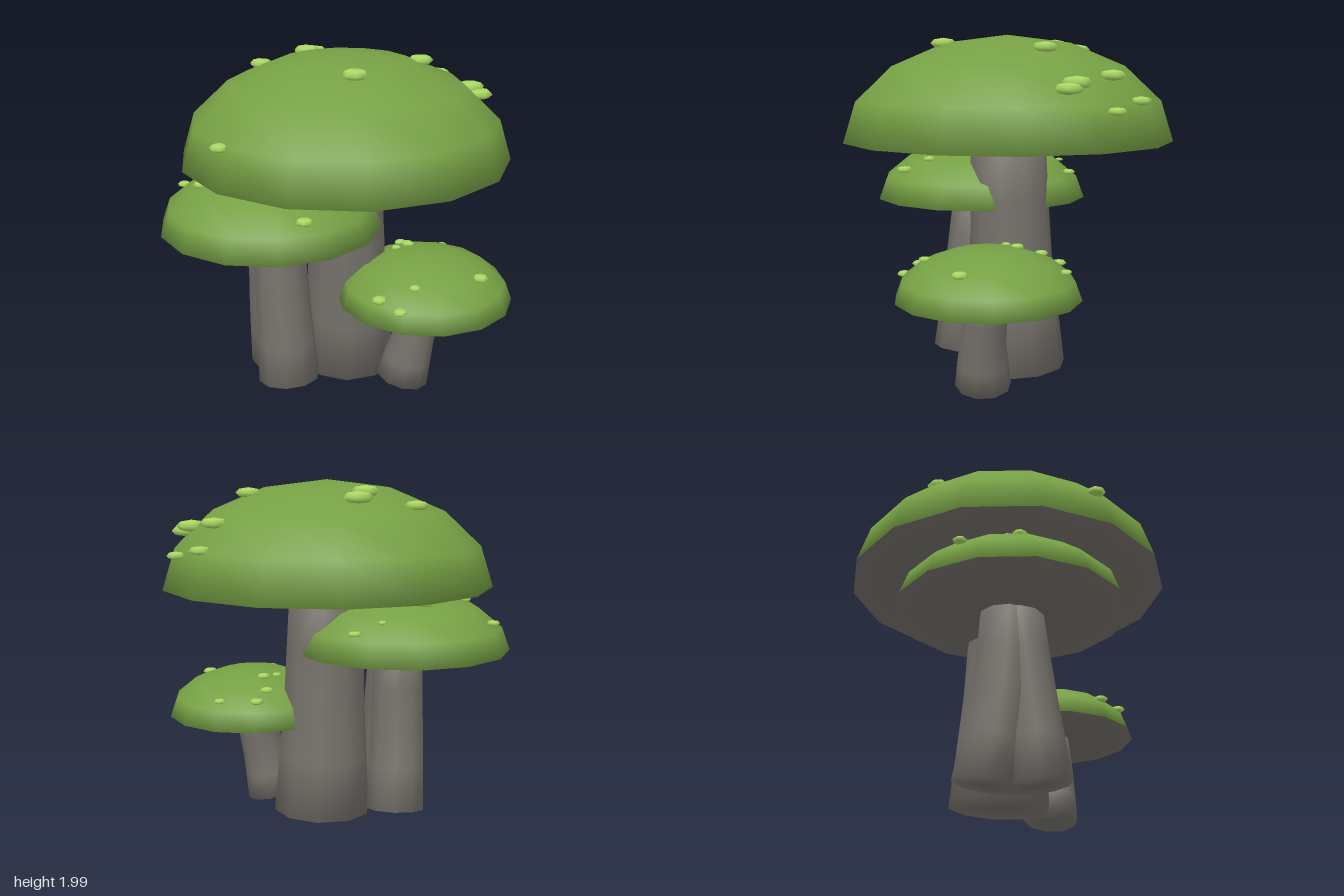
import * as THREE from 'three';

const mat = (name, color) => Object.assign(new THREE.MeshStandardMaterial({ color }), { name });
const green = mat('cap green', 0x76a044);
const grey = mat('stem grey', 0x74706a);
const lime = mat('spot lime', 0xa9d863);

const SIDES = 14;
const UP = new THREE.Vector3(0, 1, 0);

function mesh(name, geometry, material) {
  const m = new THREE.Mesh(geometry, material);
  m.name = name;
  return m;
}

// Bend the rim normals so dome and underside shade into each other
function softenRim(geometry, cx, r, down) {
  const p = geometry.attributes.position, n = geometry.attributes.normal;
  const v = new THREE.Vector3();
  for (let i = 0; i < p.count; i++) {
    v.fromBufferAttribute(p, i);
    if (v.y < 1e-4 && Math.hypot(v.x, v.z) > r * 0.98) {
      v.set(v.x / r, -down, v.z / r).normalize();
      n.setXYZ(i, v.x, v.y, v.z);
    }
  }
  return geometry;
}

// Half-ellipsoid cap with flat underside and spots sitting on its surface
function cap(name, [cx, y, cz], r, h, spots) {
  const group = new THREE.Group();
  group.name = name;
  group.position.set(cx, y, cz);

  const dome = new THREE.SphereGeometry(1, SIDES, 4, Math.PI / 2, Math.PI * 2, 0, Math.PI / 2);
  dome.scale(r, h, r);
  group.add(mesh(name + 'Dome', softenRim(dome, 0, r, 0.5), green));

  const under = new THREE.CircleGeometry(r, SIDES, Math.PI / 2);
  under.rotateX(Math.PI / 2);
  group.add(mesh(name + 'Underside', softenRim(under, 0, r, 1.6), grey));

  spots.forEach(([x, z, size], i) => {
    const dx = x - cx, dz = z - cz;
    const rho = Math.min(Math.hypot(dx, dz) / r, 0.99);
    const spot = mesh(name + 'Spot', new THREE.SphereGeometry(1, 7, 4), lime);
    spot.position.set(dx, h * Math.sqrt(1 - rho * rho), dz);
    spot.scale.set(size, size * 0.4, size);
    spot.rotation.y = i * 1.3;
    group.add(spot);
  });
  return group;
}

// Bent stem: rings swept along a curve, closed at both ends
function stem(name, points, radii) {
  const sides = 10, steps = 4;
  const curve = new THREE.CatmullRomCurve3(points.map((p) => new THREE.Vector3(...p)));
  const pos = [], index = [];
  const q = new THREE.Quaternion(), v = new THREE.Vector3();
  for (let i = 0; i <= steps; i++) {
    const t = i / steps, c = curve.getPoint(t);
    q.setFromUnitVectors(UP, curve.getTangent(t));
    const k = t < 0.5 ? 0 : 1;
    const r = THREE.MathUtils.lerp(radii[k], radii[k + 1], t * 2 - k);
    for (let j = 0; j < sides; j++) {
      const a = (j / sides) * Math.PI * 2;
      v.set(Math.sin(a) * r, 0, Math.cos(a) * r).applyQuaternion(q).add(c);
      pos.push(v.x, v.y, v.z);
    }
  }
  const bottom = pos.length / 3, top = bottom + 1;
  pos.push(...points[0], ...points[points.length - 1]);
  for (let j = 0; j < sides; j++) {
    const n = (j + 1) % sides, last = steps * sides;
    for (let i = 0; i < steps; i++) {
      const a = i * sides + j, b = i * sides + n;
      index.push(a, b, b + sides, a, b + sides, a + sides);
    }
    index.push(bottom, n, j, top, last + j, last + n);
  }
  const g = new THREE.BufferGeometry();
  g.setAttribute('position', new THREE.Float32BufferAttribute(pos, 3));
  g.setIndex(index);
  g.computeVertexNormals();
  return mesh(name, g, grey);
}

export function createModel() {
  const model = new THREE.Group();
  model.name = 'mushroomCluster';

  // Caps: spots are [x, z, size]
  model.add(cap('largeCap', [0.045, 1.39, 0], 0.955, 0.6, [
    [-0.19, -0.55, 0.07], [0.14, -0.48, 0.085], [0.04, -0.4, 0.08],
    [-0.83, 0.15, 0.055], [0.48, 0.13, 0.075], [-0.12, 0.34, 0.075],
    [0.78, -0.07, 0.075], [0.9, -0.16, 0.06], [0.94, 0.08, 0.055],
    [0.79, 0.22, 0.085], [0.8, 0.29, 0.08],
  ]));
  model.add(cap('mediumCap', [-0.366, 1.0, -0.16], 0.65, 0.35, [
    [-0.46, 0.37, 0.05], [-0.35, 0.27, 0.04], [-0.33, 0.1, 0.035],
    [-0.62, -0.29, 0.055], [-0.75, -0.28, 0.045], [-0.55, -0.335, 0.05],
    [-0.42, -0.36, 0.03], [-0.71, -0.6, 0.04], [-0.32, -0.47, 0.055],
    [0.13, -0.44, 0.04], [-0.01, -0.5, 0.025],
  ]));
  model.add(cap('smallCap', [0.335, 0.57, 0.415], 0.515, 0.28, [
    [-0.09, 0.55, 0.045], [-0.05, 0.69, 0.042], [0.08, 0.65, 0.035],
    [0.48, 0.74, 0.047], [0.36, 0.22, 0.04], [0.27, 0.22, 0.03],
    [0.41, 0.08, 0.04], [0.5, 0.03, 0.042], [0.675, 0.16, 0.035],
  ]));

  // Stems: bottom, middle and top points with matching radii
  model.add(stem('largeStem',
    [[0.1, 0.03, -0.03], [0.07, 0.7, -0.01], [0.05, 1.385, -0.005]], [0.29, 0.245, 0.22]));
  model.add(stem('mediumStem',
    [[-0.36, 0.04, 0.0], [-0.355, 0.52, -0.06], [-0.35, 1.02, -0.12]], [0.185, 0.165, 0.152]));
  model.add(stem('mediumBackStem',
    [[-0.27, 0.035, -0.27], [-0.325, 0.52, -0.2], [-0.34, 1.02, -0.175]], [0.18, 0.165, 0.152]));
  model.add(stem('smallStem',
    [[0.23, 0.035, 0.36], [0.275, 0.3, 0.4], [0.33, 0.565, 0.41]], [0.16, 0.13, 0.12]));

  return model;
}
